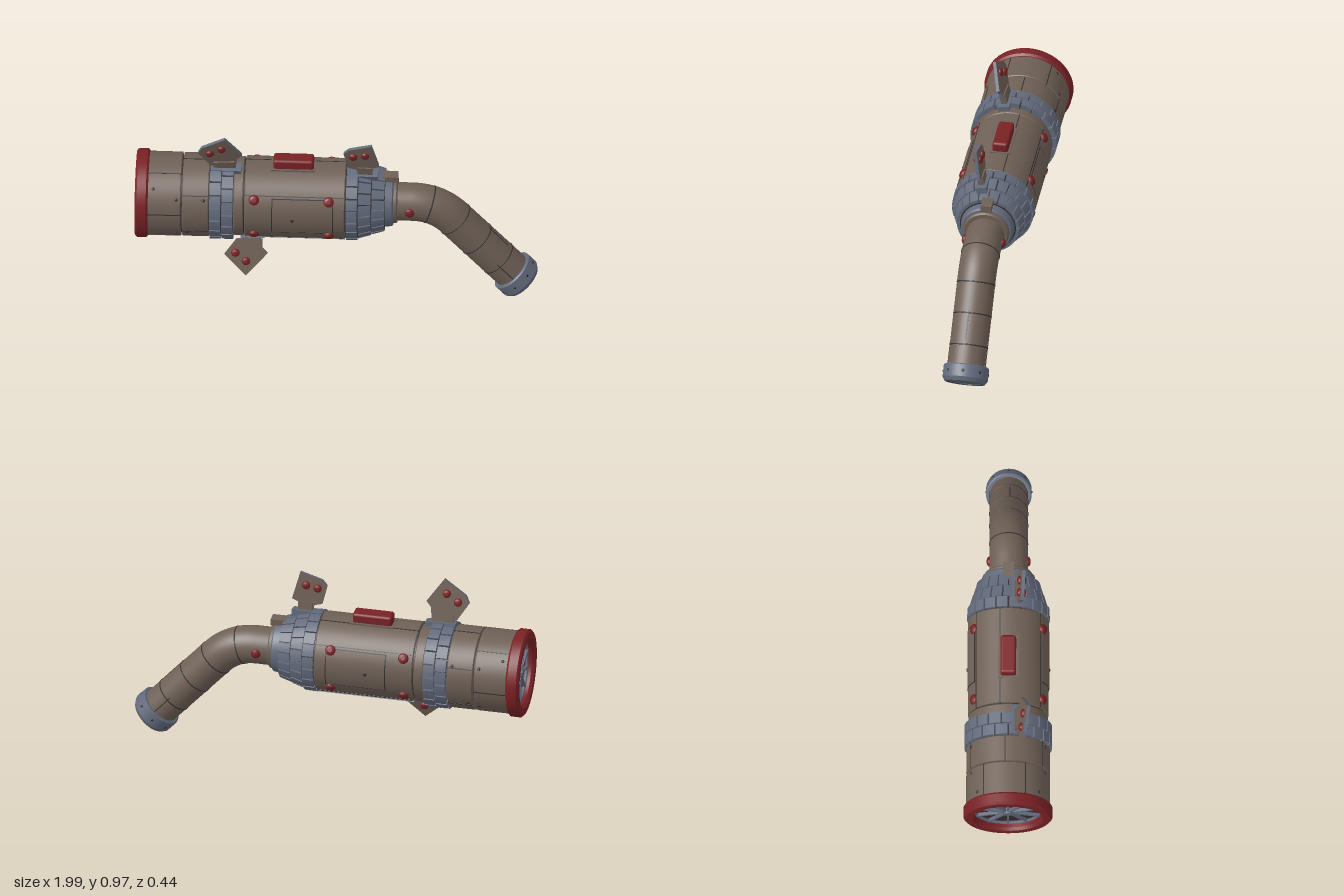
import * as THREE from 'three';
import { mergeGeometries, toCreasedNormals } from 'three/addons/utils/BufferGeometryUtils.js';
import { RoundedBoxGeometry } from 'three/addons/geometries/RoundedBoxGeometry.js';

const AXIS_Y = 0.563;
const mat = (name, color) => {
  const m = new THREE.MeshStandardMaterial({ color });
  m.name = name;
  return m;
};

// Curved block around the x axis; angle 0 faces +z, PI/2 faces +y
function wedge(x0, x1, rIn, rA, rB, a0, a1) {
  const steps = Math.max(1, Math.ceil((a1 - a0) / 0.12));
  const g = new THREE.BoxGeometry(1, 1, 1, 1, 1, steps);
  const p = g.attributes.position;
  for (let i = 0; i < p.count; i++) {
    const t = p.getX(i) + 0.5;
    const r = p.getY(i) < 0 ? rIn : rA + (rB - rA) * t;
    const a = (a0 + a1) / 2 - p.getZ(i) * (a1 - a0);
    p.setXYZ(i, x0 + (x1 - x0) * t, r * Math.sin(a), r * Math.cos(a));
  }
  g.computeVertexNormals();
  return g;
}

// Solid of revolution about x from [x, radius] points ordered along +x
function turned(points, segments = 64) {
  const g = new THREE.LatheGeometry(points.map(([x, r]) => new THREE.Vector2(r, x)), segments);
  g.rotateZ(-Math.PI / 2);
  return toCreasedNormals(g, 0.5);
}

export function createModel() {
  const tan = mat('brown metal', 0x6e6056);
  const grey = mat('blue grey metal', 0x626a7b);
  const red = mat('dark red paint', 0x7a2125);
  const dark = mat('dark seam', 0x33302f);
  const model = new THREE.Group();
  const body = new THREE.Group();
  body.name = 'body';
  body.position.y = AXIS_Y;
  model.add(body);
  const add = (parent, name, g, m) => {
    const mesh = new THREE.Mesh(g, m);
    mesh.name = name;
    parent.add(mesh);
    return mesh;
  };

  // Barrel sections with dark grooves between them
  add(body, 'core', turned([[-0.95, 0], [-0.95, 0.188], [0.1, 0.188], [0.17, 0.155], [0.235, 0.14], [0.24, 0]]), dark);
  const sections = [
    [-0.94, -0.772, 0.207], [-0.766, -0.634, 0.207], [-0.512, -0.464, 0.196], [-0.458, 0.04, 0.2],
  ];
  for (const [x0, x1, r] of sections) {
    add(body, 'barrelSection', turned([[x0, 0.17], [x0, r - 0.004], [x0 + 0.004, r], [x1 - 0.004, r], [x1, r - 0.004], [x1, 0.17]]), tan);
  }

  // Red rear rim, recessed grille with spokes and hub
  add(body, 'rearRim', turned([[-0.94, 0.165], [-0.985, 0.165], [-1, 0.175], [-1, 0.21], [-0.99, 0.22], [-0.945, 0.22], [-0.935, 0.21], [-0.935, 0.17]]
    ), red).material.side = THREE.DoubleSide;
  const spokes = [];
  for (let i = 0; i < 10; i++) {
    const g = new THREE.BoxGeometry(0.016, 0.15, 0.012);
    g.translate(-0.962, 0.09, 0);
    spokes.push(g.rotateX(i * Math.PI / 5));
  }
  add(body, 'rearSpokes', mergeGeometries(spokes), grey);
  add(body, 'rearHub', turned([[-0.978, 0], [-0.978, 0.02], [-0.95, 0.025]], 20), grey);
  add(body, 'grilleRing', new THREE.TorusGeometry(0.16, 0.008, 8, 48).rotateY(Math.PI / 2).translate(-0.962, 0, 0), grey);

  // Segmented block bands: x0, x1, inner, outer start, outer end, stagger
  const bands = [
    [-0.63, -0.576, 0.18, 0.217, 0.217, 0], [-0.57, -0.515, 0.18, 0.217, 0.217, 0.5],
    [0.045, 0.1, 0.18, 0.205, 0.203, 0], [0.105, 0.166, 0.15, 0.196, 0.178, 0.5],
    [0.171, 0.233, 0.13, 0.174, 0.156, 0],
  ];
  const N = 20, step = Math.PI * 2 / N;
  for (const [x0, x1, rIn, rA, rB, shift] of bands) {
    const blocks = [];
    for (let i = 0; i < N; i++) {
      const a = (i + shift) * step;
      blocks.push(wedge(x0, x1, rIn, rA, rB, a + 0.02, a + step - 0.02));
    }
    add(body, 'blockBand', mergeGeometries(blocks), grey);
  }

  // Neck collars
  add(body, 'greyCollar', turned([[0.23, 0.1], [0.23, 0.135], [0.27, 0.13], [0.276, 0.122], [0.276, 0.08]]), grey);
  add(body, 'neckCollar', turned([[0.27, 0.115], [0.29, 0.115], [0.296, 0.108], [0.296, 0]]), tan);

  // Grey belly plate and long seams
  add(body, 'bellyPlate', wedge(-0.455, 0.037, 0.19, 0.204, 0.204, -Math.PI / 2 - 0.56, -Math.PI / 2 + 0.56), grey);
  const seams = [];
  for (const a of [0.65, Math.PI - 0.65, 1.78, -0.82, Math.PI + 0.82]) {
    seams.push(wedge(-0.458, 0.04, 0.19, 0.2012, 0.2012, a - 0.012, a + 0.012));
  }
  for (const [x0, x1, shift] of [[-0.935, -0.772, 0.1], [-0.766, -0.634, 0.6]]) {
    for (let i = 0; i < 6; i++) {
      const a = i * Math.PI / 3 + shift;
      seams.push(wedge(x0, x1, 0.2, 0.2082, 0.2082, a - 0.012, a + 0.012));
    }
  }
  add(body, 'longSeams', mergeGeometries(seams), dark);

  // Round-headed bolt pointing along +z
  const boltGeo = turned([[-0.02, 1], [0.35, 1], [0.75, 0.8], [1, 0.4], [1, 0]], 16).rotateY(-Math.PI / 2);
  const bolt = (parent, x, y, z, tilt, r, m, name) => {
    const b = add(parent, name, boltGeo, m);
    b.position.set(x, y, z);
    b.rotation.x = tilt;
    b.scale.set(r, r, r * 0.65);
  };
  const boltAround = (x, r, a, size, m, name) =>
    bolt(body, x, r * Math.sin(a), r * Math.cos(a), -a, size, m, name);

  // Access hatch and bolts on both sides
  for (const side of [0, 1]) {
    const flip = (a) => (side ? Math.PI - a : a);
    const arc = (x0, x1, r, a, b) => wedge(x0, x1, 0.19, r, r, Math.min(flip(a), flip(b)), Math.max(flip(a), flip(b)));
    add(body, 'hatchOutline', arc(-0.323, -0.017, 0.2015, -0.415, 0.595), dark);
    add(body, 'hatch', arc(-0.318, -0.022, 0.203, -0.39, 0.57), tan);
    boltAround(-0.22, 0.202, flip(0.03), 0.009, dark, 'hatchRivet');
    for (const x of [-0.41, -0.04]) {
      for (const a of [0.546, -0.546]) boltAround(x, 0.198, flip(a), 0.026, red, 'sideBolt');
    }
    for (const [x, a] of [[-0.91, 0.75], [-0.795, 0.5], [-0.74, -0.5], [-0.66, 0.5], [-0.795, -0.6]]) {
      boltAround(x, 0.206, flip(a), 0.008, dark, 'rivet');
    }
  }

  // Top block and small front sight
  const top = add(model, 'topBlock', new RoundedBoxGeometry(0.2, 0.065, 0.078, 3, 0.014), red);
  top.position.set(-0.22, 0.779, 0);
  add(model, 'topBlockBase', new THREE.BoxGeometry(0.22, 0.012, 0.1).translate(-0.22, 0.759, 0), tan);
  add(model, 'frontTab', new THREE.BoxGeometry(0.09, 0.034, 0.055).translate(0.252, 0.705, 0), tan);

  // Fins: outline in x/y, pivot, lean, bolts, neck (x, y, width, height, turn), foot
  const fins = [
    { pivot: [-0.56, 0.78, 0.045], lean: 0.27,
      outline: [[-0.558, 0.998], [-0.473, 0.876], [-0.497, 0.848], [-0.505, 0.79], [-0.63, 0.79], [-0.69, 0.886], [-0.672, 0.925]],
      bolts: [[-0.633, 0.886], [-0.574, 0.924]], neck: [-0.56, 0.79, 0.11, 0.07, 0.1], foot: [-0.63, -0.478, 1.36, 0.222] },
    { pivot: [0.13, 0.77, 0.045], lean: 0.17,
      outline: [[0.168, 0.957], [0.205, 0.812], [0.172, 0.8], [0.165, 0.765], [0.1, 0.765], [0.09, 0.79], [0.052, 0.8], [0.03, 0.897], [0.055, 0.925]],
      bolts: [[0.077, 0.88], [0.136, 0.89]], neck: [0.135, 0.775, 0.075, 0.06, 0], foot: [0.05, 0.2, 1.36, 0.205] },
    { pivot: [-0.41, 0.36, 0.085], lean: -0.32,
      outline: [[-0.558, 0.278], [-0.451, 0.168], [-0.345, 0.288], [-0.372, 0.316], [-0.37, 0.36], [-0.44, 0.365], [-0.5, 0.358]],
      bolts: [[-0.504, 0.288], [-0.451, 0.246]], neck: [-0.42, 0.353, 0.08, 0.06, 0.3], foot: [-0.48, -0.36, -1.17, 0.21] },
  ];
  for (const f of fins) {
    const [px, py, pz] = f.pivot;
    const fin = new THREE.Group();
    fin.name = 'fin';
    fin.position.set(px, py, pz);
    fin.rotation.x = f.lean;
    model.add(fin);
    const shape = new THREE.Shape(f.outline.map(([x, y]) => new THREE.Vector2(x - px, y - py)));
    const plate = new THREE.ExtrudeGeometry(shape, { depth: 0.016, bevelEnabled: false }).translate(0, 0, -0.008);
    add(fin, 'finPlate', plate, [tan, grey]);
    const [nx, ny, w, h, turn] = f.neck;
    const neck = add(fin, 'finNeck', new THREE.BoxGeometry(w, h, 0.03), tan);
    neck.position.set(nx - px, ny - py, 0);
    neck.rotation.z = turn;
    for (const [x, y] of f.bolts) {
      bolt(fin, x - px, y - py, 0.008, 0, 0.021, red, 'finBolt');
      bolt(fin, x - px, y - py, -0.008, Math.PI, 0.021, red, 'finBolt');
    }
    const [x0, x1, a, r] = f.foot;
    add(body, 'finFoot', wedge(x0, x1, 0.17, r, r, a - 0.14, a + 0.14), grey);
  }

  // Bent outlet pipe
  const py = 0.555, slope = THREE.MathUtils.degToRad(48);
  const dir = new THREE.Vector3(Math.cos(slope), -Math.sin(slope), 0);
  const end = new THREE.Vector3(0.913, 0.085, 0);
  const corner = new THREE.Vector3(0.49, py, 0);
  const bendA = new THREE.Vector3(0.365, py, 0);
  const bendB = corner.clone().addScaledVector(dir, 0.125);
  const path = new THREE.CurvePath();
  path.add(new THREE.LineCurve3(new THREE.Vector3(0.28, py, 0), bendA));
  path.add(new THREE.QuadraticBezierCurve3(bendA, corner, bendB));
  path.add(new THREE.LineCurve3(bendB, end.clone().addScaledVector(dir, -0.04)));
  add(model, 'outletPipe', new THREE.TubeGeometry(path, 60, 0.095, 40), tan);
  for (const u of [0.22, 0.42, 0.62, 0.82]) {
    const ring = add(model, 'pipeSeam', new THREE.TorusGeometry(0.0938, 0.0035, 6, 40), dark);
    ring.position.copy(path.getPointAt(u));
    ring.quaternion.setFromUnitVectors(new THREE.Vector3(0, 0, 1), path.getTangentAt(u));
  }
  for (const s of [1, -1]) bolt(model, 0.357, py, 0.093 * s, s > 0 ? 0 : Math.PI, 0.024, red, 'pipeBolt');

  // Lower pipe seams and end cap, built along x then tilted down
  const outlet = new THREE.Group();
  outlet.name = 'outletEnd';
  outlet.position.copy(end);
  outlet.rotation.z = -slope;
  model.add(outlet);
  const pipeSeam = (x0, x1, a) => wedge(x0, x1, 0.09, 0.0962, 0.0962, a - 0.025, a + 0.025);
  add(outlet, 'pipeLongSeams', mergeGeometries([
    pipeSeam(-0.35, -0.21, 1.5), pipeSeam(-0.35, -0.21, -1.6),
    pipeSeam(-0.2, -0.08, 0.2), pipeSeam(-0.2, -0.08, Math.PI - 0.2),
  ]), dark);
  add(outlet, 'endCap', turned([[-0.085, 0.09], [-0.085, 0.107], [-0.08, 0.113], [-0.02, 0.113], [0, 0.1], [0, 0.089], [-0.006, 0.087], [-0.006, 0]]), grey);
  add(outlet, 'capGroove', new THREE.TorusGeometry(0.088, 0.002, 6, 48).rotateY(Math.PI / 2).translate(-0.002, 0, 0), dark);
  for (let i = 0; i < 8; i++) {
    const a = i * Math.PI / 4 + Math.PI / 2;
    bolt(outlet, -0.05, 0.112 * Math.sin(a), 0.112 * Math.cos(a), -a, 0.007, dark, 'capRivet');
  }
  return model;
}
